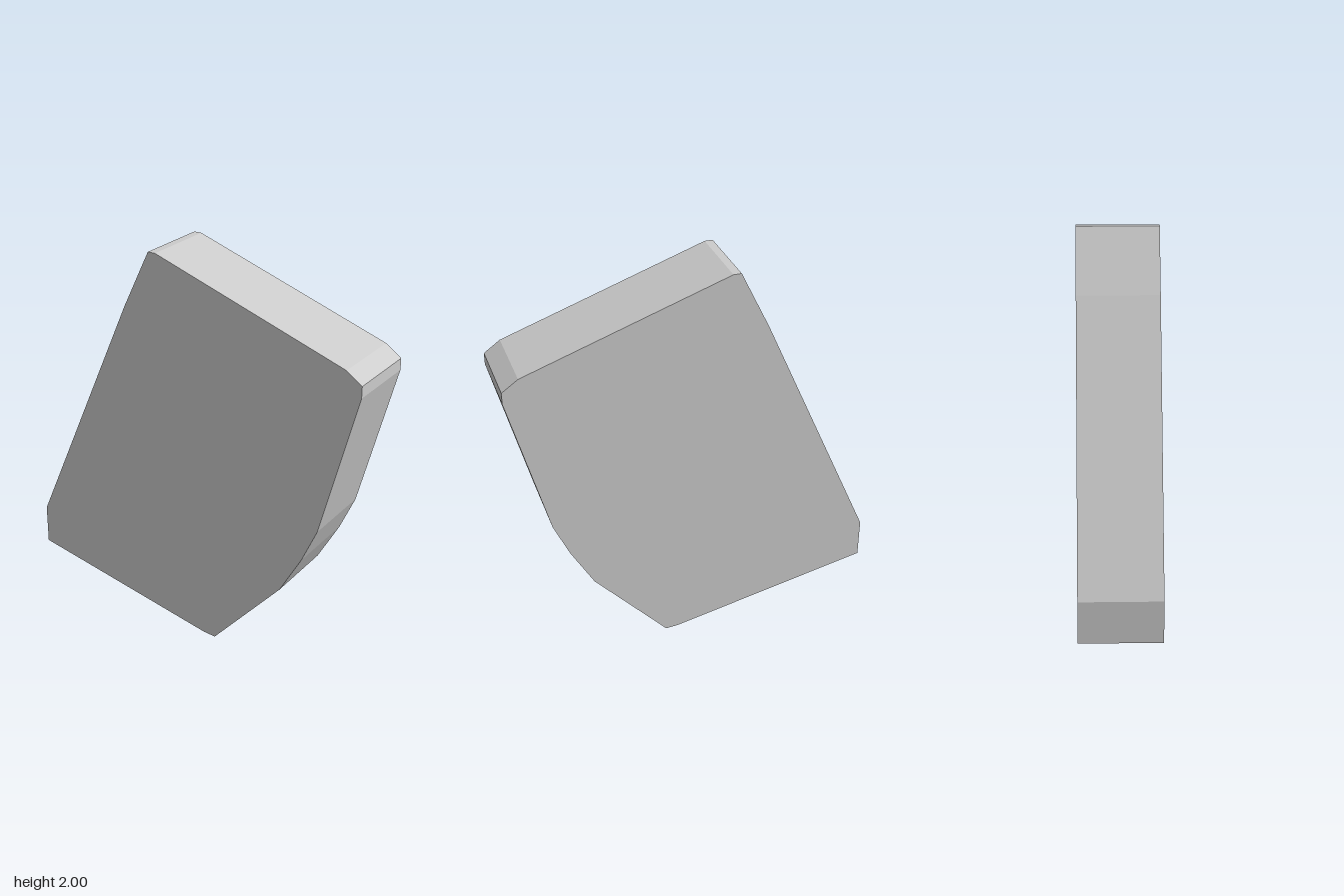
import * as THREE from 'three';

export function createModel() {
  const group = new THREE.Group();
  const depth = 0.39;

  // Slab outline, counter-clockwise from the lower left corner
  const outline = [
    [-0.925, 0.23], [0.1, 0.005], [0.165, 0], [0.54, 0.415], [0.655, 0.62],
    [0.735, 0.8], [0.925, 1.53], [0.925, 1.588], [0.845, 1.645],
    [-0.17, 2], [-0.21, 2], [-0.355, 1.705], [-0.925, 0.435],
  ].map(([x, y]) => new THREE.Vector2(x, y));

  // Flat slab with straight sides
  const geometry = new THREE.ExtrudeGeometry(new THREE.Shape(outline), { depth, bevelEnabled: false });
  geometry.translate(0, 0, -depth / 2);

  const slab = new THREE.Mesh(
    geometry,
    new THREE.MeshStandardMaterial({ color: 0xcccccc, flatShading: true })
  );
  slab.name = 'slab';
  group.add(slab);
  return group;
}
